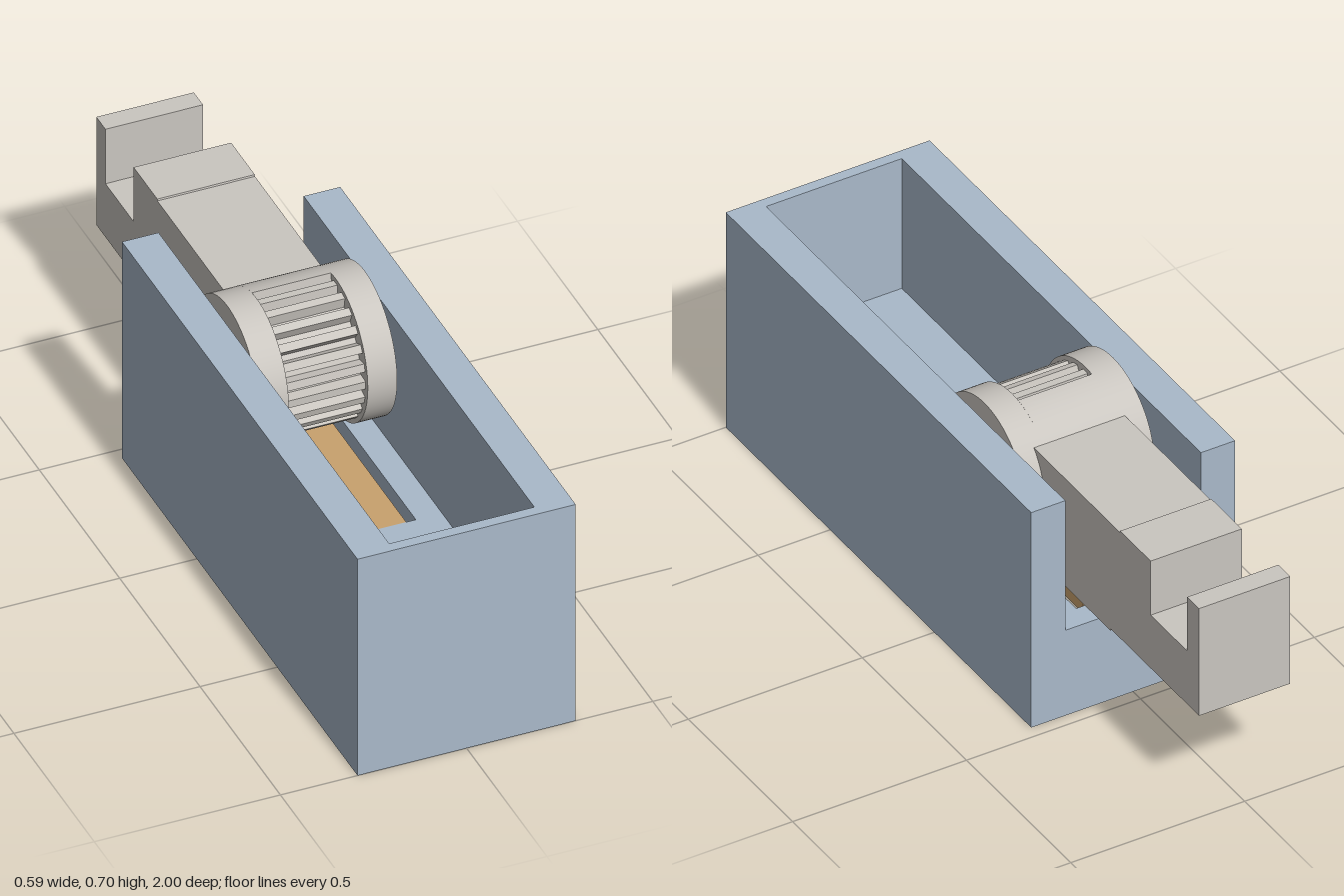
import * as THREE from 'three';
import { toCreasedNormals } from 'three/addons/utils/BufferGeometryUtils.js';

const housingBlue = new THREE.MeshStandardMaterial({ color: 0xa9b9ca });
const leverGrey = new THREE.MeshStandardMaterial({ color: 0xcac6c0 });
const stripOrange = new THREE.MeshStandardMaterial({ color: 0xc9a16d });

const AXLE_Y = 0.497, AXLE_Z = -0.06, R = 0.2;

function part(name, geometry, material, parent) {
  const mesh = new THREE.Mesh(geometry, material);
  mesh.name = name;
  parent.add(mesh);
  return mesh;
}

const polygon = (points) => new THREE.Shape(points.map(([a, b]) => new THREE.Vector2(a, b)));

// Plan outline in (x, -z), raised from y0 to y1
function extrudeUp(shape, y0, y1) {
  return new THREE.ExtrudeGeometry(shape, { depth: y1 - y0, bevelEnabled: false })
    .rotateX(-Math.PI / 2).translate(0, y0, 0);
}

// Side outline in (z, y), centred across x
function extrudeAcross(shape, width) {
  return new THREE.ExtrudeGeometry(shape, { depth: width, bevelEnabled: false, curveSegments: 48 })
    .rotateY(-Math.PI / 2).translate(width / 2, 0, 0);
}

function addHousing(parent) {
  const housing = new THREE.Group();
  housing.name = 'housing';
  parent.add(housing);

  // Thick floor with a long slot through it
  const floor = polygon([[-0.293, -1], [0.293, -1], [0.293, 0.465], [-0.293, 0.465]]);
  floor.holes.push(polygon([[-0.125, -0.395], [-0.125, 0.4], [0.125, 0.4], [0.125, -0.395]]));
  part('housingFloor', extrudeUp(floor, 0, 0.26), housingBlue, housing);

  // Walls on three sides, open at the back
  const walls = polygon([
    [-0.293, -1], [0.293, -1], [0.293, 0.465], [0.195, 0.465],
    [0.195, -0.97], [-0.195, -0.97], [-0.195, 0.465], [-0.293, 0.465],
  ]);
  part('housingWalls', extrudeUp(walls, 0.26, 0.656), housingBlue, housing);
}

function addWheel(parent) {
  const wheel = new THREE.Group();
  wheel.name = 'wheel';
  wheel.position.set(0, AXLE_Y, AXLE_Z);
  parent.add(wheel);

  // Round cheeks on both sides
  for (const side of [-1, 1]) {
    const cheek = new THREE.CylinderGeometry(R, R, 0.079, 72).rotateZ(Math.PI / 2);
    part(side > 0 ? 'leftCheek' : 'rightCheek', cheek, leverGrey, wheel).position.x = side * 0.1455;
  }

  // Solid rear half between the cheeks
  const start = Math.PI / 2 + 0.15, end = Math.PI * 1.5 - 0.15;
  const rear = new THREE.Shape();
  rear.moveTo(0, 0);
  rear.lineTo(R * Math.cos(start), R * Math.sin(start));
  rear.absarc(0, 0, R, start, end, false);
  rear.lineTo(0, 0);
  part('wheelRear', toCreasedNormals(extrudeAcross(rear, 0.212), 0.5), leverGrey, wheel);

  // Toothed centre, exposed toward the front
  const teeth = 24, step = (Math.PI * 2) / teeth, points = [];
  for (let i = 0; i < teeth; i++) {
    for (const [offset, r] of [[-0.32, 0.158], [-0.22, 0.188], [0.22, 0.188], [0.32, 0.158]]) {
      const a = (i + offset) * step + Math.PI / 2;
      points.push([r * Math.cos(a), r * Math.sin(a)]);
    }
  }
  part('toothedCentre', extrudeAcross(polygon(points), 0.211), leverGrey, wheel);

  // Axle reaching the housing walls
  part('axle', new THREE.CylinderGeometry(0.05, 0.05, 0.392, 32).rotateZ(Math.PI / 2), leverGrey, wheel);
}

export function createModel() {
  const model = new THREE.Group();
  model.name = 'leverMechanism';

  addHousing(model);
  addWheel(model);

  // Lever arm with a notch near its tip
  const arm = polygon([
    [-0.14, 0.304], [-0.14, 0.632], [-0.62, 0.632], [-0.621, 0.637], [-0.768, 0.637],
    [-0.768, 0.472], [-0.943, 0.472], [-0.943, 0.637], [-1, 0.637], [-1, 0.31],
    [-0.575, 0.31], [-0.574, 0.304],
  ]);
  part('leverArm', extrudeAcross(arm, 0.262), leverGrey, model);

  // Flat strip lying in the floor slot
  part('strip', new THREE.BoxGeometry(0.198, 0.03, 0.785), stripOrange, model).position.set(0, 0.245, 0.0025);

  return model;
}
